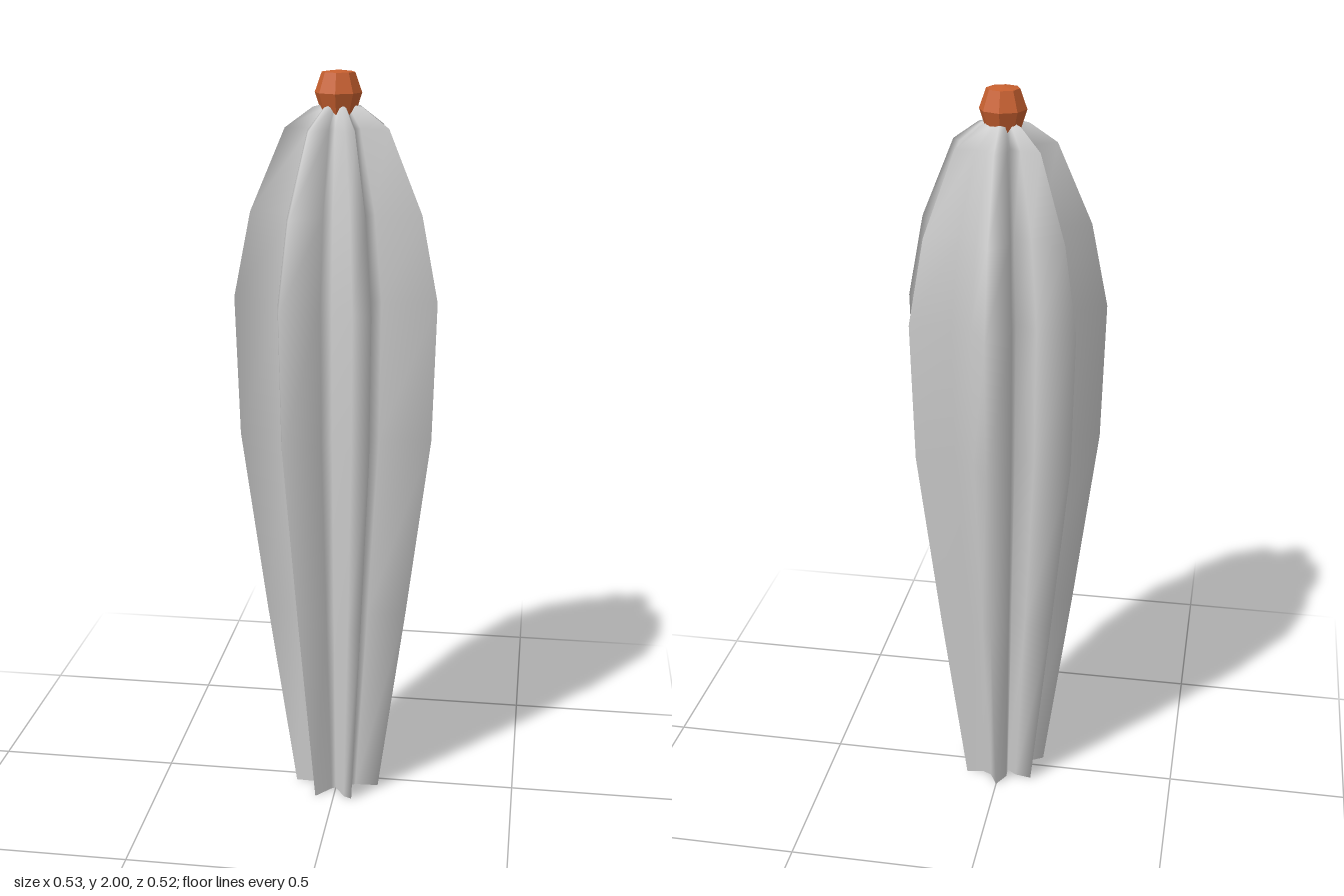
import * as THREE from 'three';

const CENTRE_Z = 0.01;

// Star cross-section at the widest height: [degrees clockwise from the back, radius]
const STAR = [
  [0, 0.27], [15.7, 0.185], [35.5, 0.184],
  [51.5, 0.27], [67.6, 0.184], [78.2, 0.123], [92, 0.222],
  [103.5, 0.271], [120, 0.139], [132, 0.125],
  [155, 0.273], [163.9, 0.234], [180, 0.128], [190.5, 0.147],
  [205, 0.273], [218.5, 0.212], [229.3, 0.123], [242, 0.145],
  [256.5, 0.271], [279, 0.122], [293.6, 0.15],
  [308.3, 0.27], [323.7, 0.186], [334.7, 0.121], [343.7, 0.185],
];

// Height and scale of the star at each level
const LEVELS = [
  [0, 0.445], [0.55, 0.725], [1.06, 0.965], [1.43, 1],
  [1.65, 0.835], [1.86, 0.5], [1.91, 0.24], [1.925, 0.02],
];

function starPoint([deg, r], scale) {
  const a = THREE.MathUtils.degToRad(deg);
  return [Math.sin(a) * r * scale, -Math.cos(a) * r * scale];
}

// Ribbed wall lofted through the scaled stars, smooth shaded
function ribbedWall() {
  const pos = [], index = [], n = STAR.length;
  LEVELS.forEach(([y, s], j) => {
    STAR.forEach((p, i) => {
      const [x, z] = starPoint(p, s);
      pos.push(x, y, z);
      if (j === LEVELS.length - 1) return;
      const a = j * n + i, b = j * n + (i + 1) % n;
      index.push(a, a + n, b, b, a + n, b + n);
    });
  });
  const g = new THREE.BufferGeometry();
  g.setAttribute('position', new THREE.Float32BufferAttribute(pos, 3));
  g.setIndex(index);
  g.computeVertexNormals();
  return g;
}

export function createModel() {
  const model = new THREE.Group();
  model.name = 'cactus';
  const add = (name, geometry, material) => {
    const mesh = new THREE.Mesh(geometry, material);
    mesh.name = name;
    mesh.position.z = CENTRE_Z;
    model.add(mesh);
  };

  const grey = new THREE.MeshStandardMaterial({ color: 0xcccccc });
  add('ribbedStem', ribbedWall(), grey);

  // Flat star closing the foot
  const outline = STAR.map((p) => new THREE.Vector2(...starPoint(p, LEVELS[0][1])));
  add('stemBase', new THREE.ShapeGeometry(new THREE.Shape(outline)).rotateX(Math.PI / 2), grey);

  // Faceted eight-sided flower bud
  const profile = [[0, 1.885], [0.04, 1.885], [0.06, 1.945], [0.042, 1.995], [0, 2]]
    .map(([r, y]) => new THREE.Vector2(r, y));
  add('flowerBud', new THREE.LatheGeometry(profile, 8),
    new THREE.MeshStandardMaterial({ color: 0xc8602f, flatShading: true }));

  return model;
}
